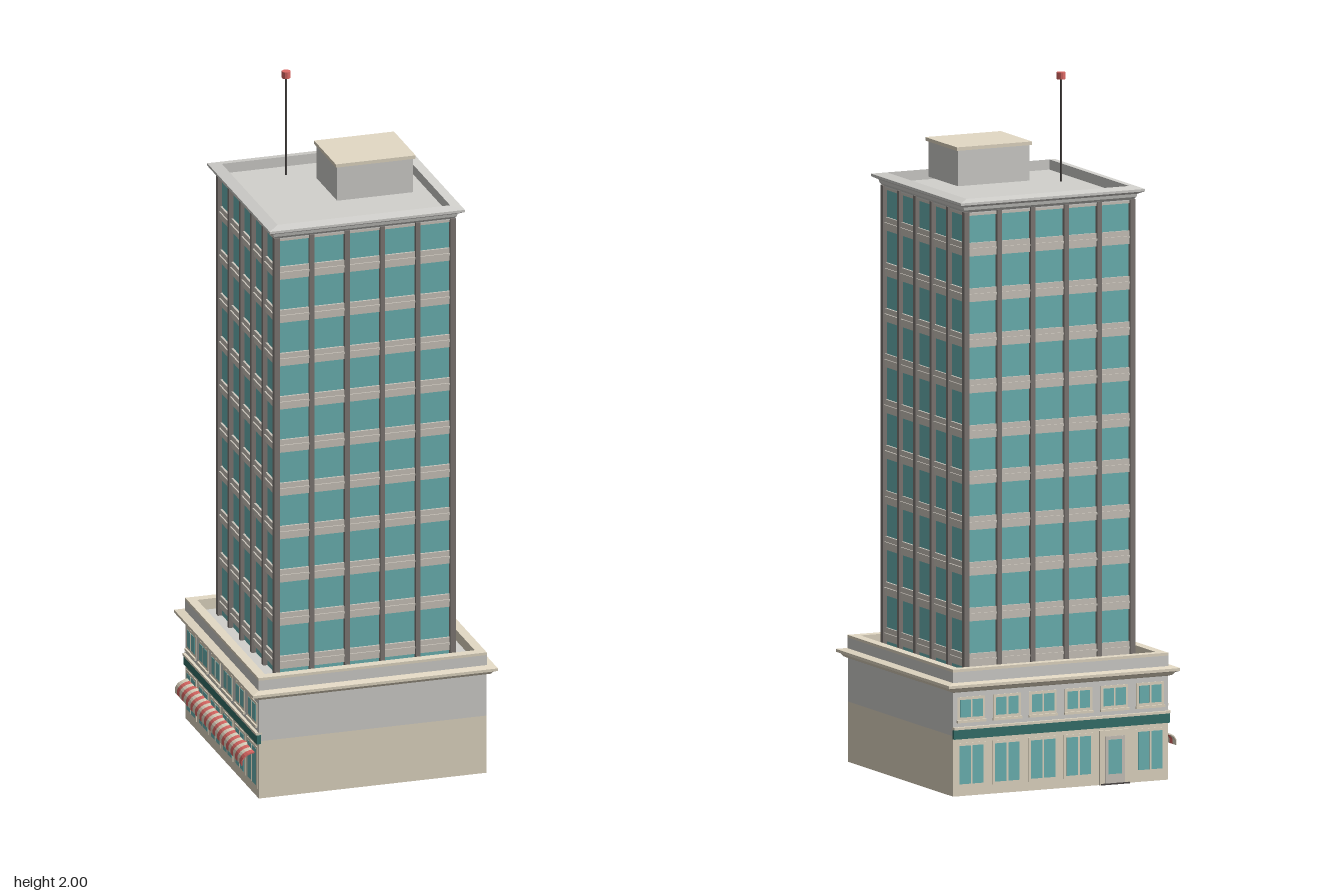
import * as THREE from 'three';

const mat = (name, color) => new THREE.MeshStandardMaterial({ name, color, flatShading: true, side: THREE.DoubleSide });

export function createModel() {
  const beige = mat('beige stone', 0xe4dac5);
  const grey = mat('grey concrete', 0xd2d1cd);
  const band = mat('warm grey band', 0xcdc7be);
  const frame = mat('dark frame', 0x807a76);
  const glass = mat('teal glass', 0x6db6b6);
  const green = mat('dark green fascia', 0x34716b);
  const red = mat('red', 0xe06a66);
  const black = mat('dark metal', 0x4c4846);

  const model = new THREE.Group();
  const building = new THREE.Group();
  building.name = 'building';
  building.position.x = 0.0065;
  model.add(building);

  const add = (parent, name, geometry, material, x = 0, y = 0, z = 0) => {
    const mesh = new THREE.Mesh(geometry, material);
    mesh.name = name;
    mesh.position.set(x, y, z);
    parent.add(mesh);
    return mesh;
  };
  // Box given by its centre in x and z and its bottom and top heights
  const box = (parent, name, material, w, y0, y1, d, x = 0, z = 0) =>
    add(parent, name, new THREE.BoxGeometry(w, y1 - y0, d), material, x, (y0 + y1) / 2, z);
  // Square ring following a profile of [half width, height]
  const ring = (name, material, profile) => {
    const points = profile.map(([h, y]) => new THREE.Vector2(h * Math.SQRT2, y));
    add(building, name, new THREE.LatheGeometry(points, 4).rotateY(Math.PI / 4), material);
  };

  // Podium
  const H = 0.336;
  box(building, 'podiumLower', beige, 2 * H, 0, 0.172, 2 * H);
  box(building, 'podiumUpper', grey, 2 * H, 0.172, 0.3, 2 * H);
  box(building, 'terrace', grey, 0.64, 0.3, 0.33, 0.64);
  ring('podiumCornice', beige, [[H, 0.296], [0.346, 0.3], [0.352, 0.308], [0.362, 0.312], [0.362, 0.32], [0.337, 0.324]]);
  ring('podiumParapet', grey, [[0.337, 0.32], [0.337, 0.354]]);
  ring('parapetCap', beige, [[0.337, 0.354], [0.337, 0.362], [0.31, 0.362], [0.31, 0.33]]);

  // Tower core with floor bands
  const floors = 10, floorHeight = 0.13, firstBand = 0.372;
  box(building, 'towerGlass', glass, 0.51, 0.33, 1.645, 0.51);
  for (let i = 0; i < floors; i++) {
    const y = firstBand + i * floorHeight;
    box(building, 'floorBand', band, 0.522, y - 0.02, y + 0.018, 0.522);
    box(building, 'floorLedge', band, 0.53, y - 0.003, y + 0.003, 0.53);
  }
  box(building, 'topBand', band, 0.522, 1.638, 1.65, 0.522);

  // Mullions between the five bays on each side
  const bays = 5, pitch = 0.1045;
  for (let side = 0; side < 4; side++) {
    const wall = new THREE.Group();
    wall.name = 'towerWall';
    wall.rotation.y = side * Math.PI / 2;
    building.add(wall);
    for (let i = 1; i < bays; i++)
      box(wall, 'mullion', frame, 0.014, 0.33, 1.65, 0.018, (i - bays / 2) * pitch, 0.259);
    box(wall, 'cornerPost', frame, 0.016, 0.33, 1.65, 0.016, 0.26, 0.26);
  }

  // Roof
  box(building, 'roofDeck', grey, 0.524, 1.645, 1.657, 0.524);
  ring('roofCornice', grey, [[0.262, 1.648], [0.27, 1.656], [0.272, 1.665], [0.288, 1.673], [0.288, 1.68], [0.255, 1.686], [0.255, 1.655]]);
  box(building, 'penthouse', grey, 0.224, 1.688, 1.79, 0.188, 0.074, 0.035);
  box(building, 'penthouseCap', beige, 0.236, 1.79, 1.8, 0.2, 0.074, 0.035);
  add(building, 'mast', new THREE.CylinderGeometry(0.003, 0.003, 0.302, 8), black, -0.1115, 1.839, -0.112);
  add(building, 'mastLight', new THREE.CylinderGeometry(0.0125, 0.0125, 0.02, 12), red, -0.1115, 1.99, -0.112);

  // Shop front: local +z points out of the wall
  const pane = (wall, name, x, w, y0, y1) => {
    box(wall, name + 'Frame', beige, w + 0.016, y0 - 0.008, y1 + 0.008, 0.004, x, H);
    box(wall, name + 'Glass', glass, w, y0, y1, 0.006, x, H);
    box(wall, name + 'Bar', beige, 0.005, y0, y1, 0.008, x, H);
  };
  const shopFront = (name, angle, doorBay) => {
    const wall = new THREE.Group();
    wall.name = name;
    wall.rotation.y = angle;
    building.add(wall);
    box(wall, 'fascia', green, 0.672, 0.163, 0.19, 0.012, 0, H);
    box(wall, 'fasciaTrim', beige, 0.672, 0.19, 0.197, 0.018, 0, H);
    for (let i = 0; i < 6; i++) {
      const x = (i - 2.5) * 0.112;
      pane(wall, 'upperWindow', x, 0.07, 0.224, 0.274);
      box(wall, 'windowSill', beige, 0.09, 0.209, 0.216, 0.014, x, H);
      if (i === doorBay) {
        box(wall, 'doorSurround', beige, 0.096, 0, 0.155, 0.012, x, H);
        box(wall, 'doorLeaf', band, 0.062, 0.004, 0.138, 0.014, x, H);
        box(wall, 'doorGlass', glass, 0.042, 0.03, 0.128, 0.016, x, H);
        box(wall, 'doorStep', black, 0.09, 0, 0.004, 0.02, x, H);
      } else pane(wall, 'shopWindow', x, 0.076, 0.034, 0.143);
    }
    return wall;
  };
  shopFront('backShopFront', Math.PI, 4);
  const awningWall = shopFront('rightShopFront', -Math.PI / 2, -1);

  // Striped awning with a curved section
  const section = new THREE.Shape();
  section.moveTo(0, 0.13);
  section.quadraticCurveTo(0.032, 0.128, 0.0405, 0.106);
  section.lineTo(0.0405, 0.092);
  section.lineTo(0.0375, 0.092);
  section.lineTo(0.0375, 0.106);
  section.quadraticCurveTo(0.03, 0.124, 0, 0.126);
  section.closePath();
  const stripes = 30, stripeWidth = 0.615 / stripes;
  const stripe = new THREE.ExtrudeGeometry(section, { depth: stripeWidth, bevelEnabled: false, curveSegments: 5 });
  stripe.rotateY(-Math.PI / 2);
  for (let i = 0; i < stripes; i++)
    add(awningWall, 'awningStripe', stripe, i % 2 ? red : beige, -0.31 + (i + 1) * stripeWidth, 0, H);

  return model;
}
